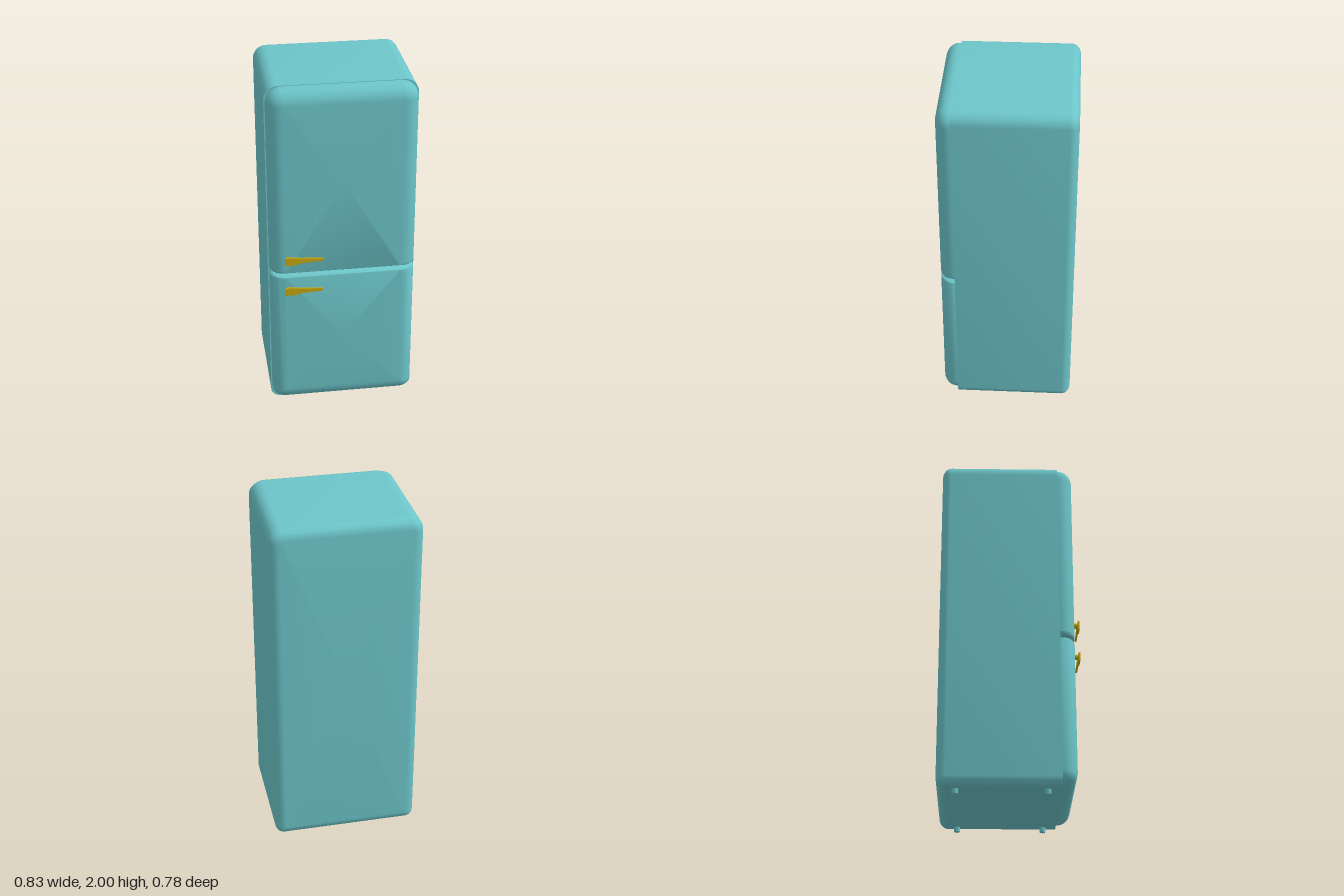
import * as THREE from 'three';
import { toCreasedNormals } from 'three/addons/utils/BufferGeometryUtils.js';

const enamel = new THREE.MeshStandardMaterial({ color: 0x6cc5c9 });
const brass = new THREE.MeshStandardMaterial({ color: 0xc8a810 });
const pale = new THREE.MeshStandardMaterial({ color: 0xf2f2f2 });

function add(parent, name, geometry, material, x = 0, y = 0, z = 0) {
  const mesh = new THREE.Mesh(geometry, material);
  mesh.name = name;
  mesh.position.set(x, y, z);
  parent.add(mesh);
  return mesh;
}

// Rounded rectangle outline, counter-clockwise seen from +z
function outline(x0, x1, y0, y1, rTop, rBottom, steps = 8) {
  const corners = [
    [x1 - rTop, y1 - rTop, rTop], [x0 + rTop, y1 - rTop, rTop],
    [x0 + rBottom, y0 + rBottom, rBottom], [x1 - rBottom, y0 + rBottom, rBottom],
  ];
  const points = [];
  corners.forEach(([cx, cy, r], q) => {
    for (let i = 0; i <= steps; i++) {
      const a = (q + i / steps) * Math.PI / 2;
      points.push([cx + r * Math.cos(a), cy + r * Math.sin(a)]);
    }
  });
  return points;
}

// Panel lofted along z; profile rows are [inset, z] from back to front.
// top and bottom scale the inset on those two edges.
function panel({ x0, x1, y0, y1, rTop, rBottom, top = 1, bottom = 1, profile }) {
  const positions = [], index = [];
  let n = 0;
  for (const [d, z] of profile) {
    const ring = outline(x0 + d, x1 - d, y0 + d * bottom, y1 - d * top,
      Math.max(rTop - d * top, 0.012), Math.max(rBottom - d * bottom, 0.012));
    n = ring.length;
    ring.forEach(([x, y]) => positions.push(x, y, z));
  }
  const rows = profile.length;
  for (let i = 0; i < rows - 1; i++) {
    for (let j = 0; j < n; j++) {
      const a = i * n + j, b = i * n + (j + 1) % n;
      index.push(a, b, b + n, a, b + n, a + n);
    }
  }
  // Flat back and front caps
  const cx = (x0 + x1) / 2, cy = (y0 + y1) / 2;
  const back = rows * n, front = back + 1, last = (rows - 1) * n;
  positions.push(cx, cy, profile[0][1], cx, cy, profile[rows - 1][1]);
  for (let j = 0; j < n; j++) {
    const k = (j + 1) % n;
    index.push(back, k, j, front, last + j, last + k);
  }
  const geometry = new THREE.BufferGeometry();
  geometry.setAttribute('position', new THREE.Float32BufferAttribute(positions, 3));
  geometry.setIndex(index);
  return toCreasedNormals(geometry, 0.7);
}

// Quarter-ellipse edge, as [inset, height] from the wall to the face
function roundEdge(width, depth, steps = 8) {
  return Array.from({ length: steps + 1 }, (_, i) => {
    const a = i / steps * Math.PI / 2;
    return [width * (1 - Math.cos(a)), depth * Math.sin(a)];
  });
}

function handle(name, y) {
  const group = new THREE.Group();
  group.name = name;
  group.position.set(0, y, 0);
  // Mounting post and its head
  const post = add(group, 'handlePost', new THREE.CylinderGeometry(0.014, 0.016, 0.036, 20), brass, -0.311, 0, 0.372);
  post.rotation.x = Math.PI / 2;
  const head = new THREE.Shape();
  head.moveTo(-0.328, -0.022);
  head.lineTo(-0.29, -0.024);
  head.lineTo(-0.25, -0.019);
  head.lineTo(-0.25, 0.019);
  head.lineTo(-0.29, 0.024);
  head.lineTo(-0.328, 0.022);
  add(group, 'handleHead', new THREE.ExtrudeGeometry(head, { depth: 0.006, bevelEnabled: true, bevelSize: 0.001, bevelThickness: 0.002, bevelSegments: 2 }), brass, 0, 0, 0.382);
  // Tapered lever
  const lever = new THREE.Shape();
  lever.moveTo(-0.3, -0.018);
  lever.lineTo(-0.121, -0.007);
  lever.quadraticCurveTo(-0.113, 0, -0.121, 0.007);
  lever.lineTo(-0.3, 0.018);
  add(group, 'handleLever', new THREE.ExtrudeGeometry(lever, { depth: 0.005, bevelEnabled: true, bevelSize: 0.002, bevelThickness: 0.002, bevelSegments: 3 }), brass, 0, 0, 0.379);
  return group;
}

export function createModel() {
  const model = new THREE.Group();
  model.name = 'refrigerator';

  // Cabinet, rounded at the back and square at the front
  const backEdge = roundEdge(0.06, 0.05).map(([d, h]) => [d, -0.343 - h]).reverse();
  add(model, 'cabinet', panel({
    x0: -0.417, x1: 0.417, y0: 0.027, y1: 2, rTop: 0.075, rBottom: 0.05,
    profile: [...backEdge, [0, 0.275]],
  }), enamel);

  // Doors, deeply rounded outside and tight along the gap
  const doorEdge = [[0, 0.275], ...roundEdge(0.085, 0.075).map(([d, h]) => [d, 0.285 + h])];
  add(model, 'upperDoor', panel({
    x0: -0.41, x1: 0.413, y0: 0.903, y1: 1.997, rTop: 0.09, rBottom: 0.02, bottom: 0.12, profile: doorEdge,
  }), enamel);
  add(model, 'lowerDoor', panel({
    x0: -0.41, x1: 0.413, y0: 0.045, y1: 0.89, rTop: 0.02, rBottom: 0.07, top: 0.12, profile: doorEdge,
  }), enamel);
  add(model, 'doorSeal', new THREE.BoxGeometry(0.78, 0.012, 0.004), pale, 0, 0.8965, 0.276);

  model.add(handle('upperHandle', 1.0), handle('lowerHandle', 0.807));

  // Feet
  for (const x of [-0.343, 0.343]) {
    for (const z of [-0.29, 0.2]) {
      add(model, 'foot', new THREE.CylinderGeometry(0.019, 0.016, 0.035, 16), enamel, x, 0.0175, z);
    }
  }
  return model;
}
